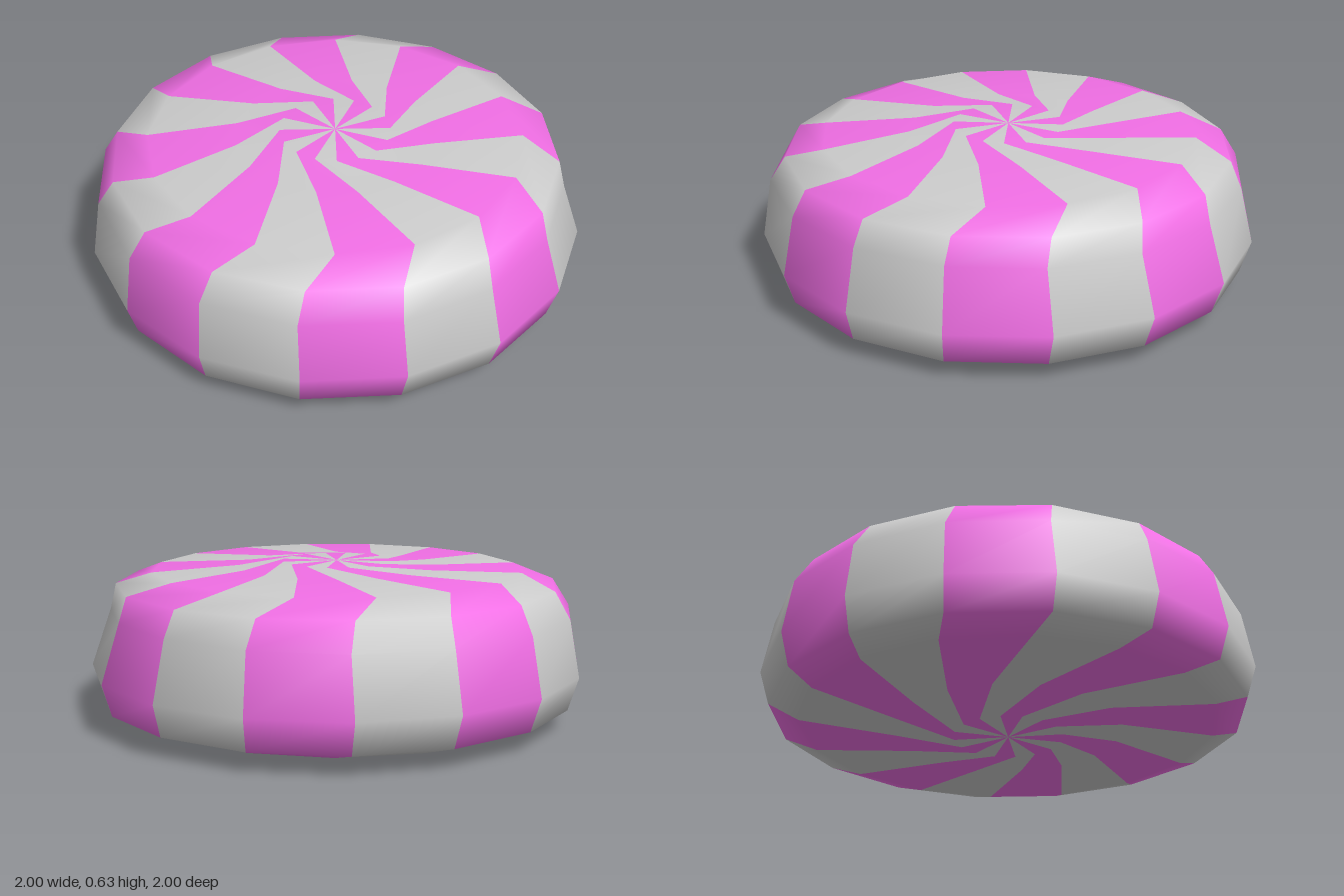
import * as THREE from 'three';

const SIDES = 16;
const STEP = (Math.PI * 2) / SIDES;

// Rings from top to bottom: [radius, height, twist in degrees, dent on the +x side]
const RINGS = [
  [0.22, 0.63, 36, 0],
  [0.4, 0.61, 3, 0],
  [0.75, 0.6, -7.2, 0],
  [0.895, 0.545, -0.5, 0],
  [0.96, 0.44, 0.6, 0.04],
  [1.0, 0.21, 0, 0],
  [0.96, 0.08, 0.5, 0],
  [0.84, 0.04, 4, 0],
  [0.46, 0.03, 17, 0],
  [0.22, 0.0, 40, 0],
];

export function createModel() {
  const group = new THREE.Group();
  group.name = 'swirlCandy';

  // Ring vertices, then the two poles
  const positions = [];
  for (const [r, y, twist, dent] of RINGS) {
    for (let i = 0; i < SIDES; i++) {
      const a = i * STEP + THREE.MathUtils.degToRad(twist);
      const rr = r - dent * Math.max(0, Math.cos(a));
      positions.push(rr * Math.cos(a), y, rr * Math.sin(a));
    }
  }
  const top = RINGS.length * SIDES;
  const bottom = top + 1;
  positions.push(0, 0.63, 0, 0, 0, 0);

  // Each wedge runs from pole to pole; wedges alternate between the colours
  const stripes = [[], []];
  const last = RINGS.length - 1;
  const id = (ring, i) => ring * SIDES + (i % SIDES);
  for (let i = 0; i < SIDES; i++) {
    const faces = stripes[i % 2];
    faces.push(top, id(0, i + 1), id(0, i));
    for (let k = 0; k < last; k++) {
      const a = id(k, i), b = id(k, i + 1), c = id(k + 1, i + 1), d = id(k + 1, i);
      faces.push(a, b, c, a, c, d);
    }
    faces.push(bottom, id(last, i), id(last, i + 1));
  }

  // Smooth normals shared across the stripe borders
  const body = new THREE.BufferGeometry();
  body.setAttribute('position', new THREE.Float32BufferAttribute(positions, 3));
  body.setIndex([...stripes[0], ...stripes[1]]);
  body.computeVertexNormals();

  const parts = [['pinkStripes', 0xf06ee4], ['greyStripes', 0xcccccc]];
  parts.forEach(([name, color], n) => {
    const geometry = body.clone();
    geometry.setIndex(stripes[n]);
    const mesh = new THREE.Mesh(geometry, new THREE.MeshStandardMaterial({ color }));
    mesh.name = name;
    group.add(mesh);
  });
  return group;
}
